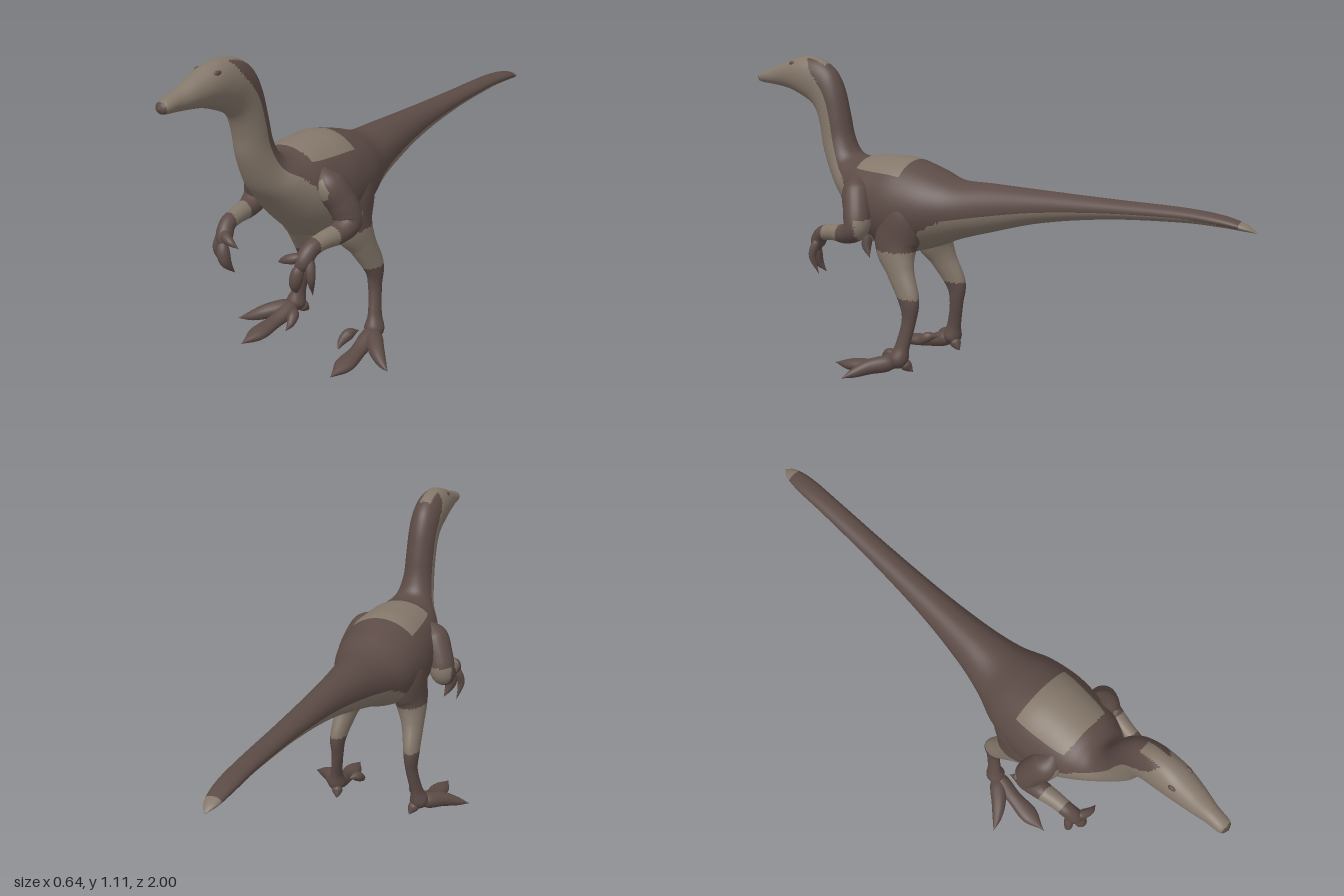
import * as THREE from 'three';
import { mergeVertices } from 'three/addons/utils/BufferGeometryUtils.js';

const V = (x, y, z) => new THREE.Vector3(x, y, z);
const spline = (pts) => new THREE.CatmullRomCurve3(pts, false, 'catmullrom', 0.5);

// Sorts the faces into two groups: dark hide (0) and light hide (1).
function paint(geo, isLight) {
  const p = geo.attributes.position, uv = geo.attributes.uv, src = geo.index.array;
  const sets = [[], []];
  for (let i = 0; i < src.length; i += 3) {
    const f = [src[i], src[i + 1], src[i + 2]];
    const c = V(0, 0, 0);
    let u = 0, v = 0;
    for (const k of f) {
      c.add(V(p.getX(k), p.getY(k), p.getZ(k)).divideScalar(3));
      if (uv) { u += uv.getX(k) / 3; v += uv.getY(k) / 3; }
    }
    sets[isLight(c, u, v) ? 1 : 0].push(...f);
  }
  geo.setIndex([...sets[0], ...sets[1]]);
  geo.clearGroups();
  geo.addGroup(0, sets[0].length, 0);
  geo.addGroup(sets[0].length, sets[1].length, 1);
  return geo;
}

// Tapered limb through points [x, y, z, radius, sideways stretch].
function limb(pts, side, sides = 14, perSpan = 8) {
  const path = spline(pts.map(([x, y, z]) => V(x * side, y, z)));
  const size = spline(pts.map(([, , , r, sx = 1]) => V(r, sx, 0)));
  path.getPointAt = path.getPoint;
  path.getTangentAt = path.getTangent;
  const n = (pts.length - 1) * perSpan;
  let geo = new THREE.TubeGeometry(path, n, 1, sides, false);
  const p = geo.attributes.position;
  for (let k = 0; k < p.count; k++) {
    const t = Math.floor(k / (sides + 1)) / n;
    const c = path.getPoint(t), s = size.getPoint(t), r = Math.max(0, s.x);
    const d = V(p.getX(k), p.getY(k), p.getZ(k)).sub(c).multiplyScalar(r);
    p.setXYZ(k, c.x + d.x * s.y, Math.max(0, c.y + d.y), c.z + d.z);
  }
  geo.deleteAttribute('uv');
  geo.deleteAttribute('normal');
  geo = mergeVertices(geo, 1e-5);
  geo.computeVertexNormals();
  return geo;
}

// Tail to snout: top z, top y, bottom z, bottom y, half width, light share from below.
const SECTIONS = [
  [-1, 0.635, -1, 0.635, 0, 0.4],
  [-0.96, 0.66, -0.96, 0.638, 0.023, 0.3],
  [-0.88, 0.68, -0.88, 0.643, 0.034, 0.3],
  [-0.75, 0.69, -0.75, 0.643, 0.036, 0.38],
  [-0.5, 0.692, -0.5, 0.625, 0.042, 0.4],
  [-0.25, 0.696, -0.25, 0.585, 0.056, 0.4],
  [-0.05, 0.7, -0.05, 0.53, 0.08, 0.4],
  [0.08, 0.702, 0.08, 0.49, 0.11, 0.38],
  [0.18, 0.735, 0.18, 0.45, 0.148, 0.25],
  [0.28, 0.763, 0.3, 0.42, 0.165, 0.12],
  [0.36, 0.766, 0.4, 0.435, 0.16, 0.2],
  [0.44, 0.76, 0.48, 0.5, 0.145, 0.48],
  [0.49, 0.752, 0.57, 0.6, 0.11, 0.6],
  [0.53, 0.768, 0.63, 0.67, 0.075, 0.62],
  [0.555, 0.82, 0.675, 0.77, 0.058, 0.62],
  [0.572, 0.9, 0.69, 0.85, 0.055, 0.6],
  [0.595, 0.99, 0.708, 0.905, 0.055, 0.6],
  [0.63, 1.055, 0.735, 0.935, 0.056, 0.62],
  [0.69, 1.095, 0.78, 0.958, 0.057, 0.75],
  [0.77, 1.105, 0.84, 0.98, 0.053, 1.1],
  [0.85, 1.083, 0.9, 0.99, 0.042, 1.1],
  [0.92, 1.056, 0.945, 0.995, 0.03, 1.1],
  [0.983, 1.038, 0.988, 1.0, 0.023, 1.1],
  [1, 1.018, 1, 1.016, 0, 1.1],
];

function bodyGeometry() {
  const top = spline(SECTIONS.map(([z, y, , , w]) => V(w, y, z)));
  const low = spline(SECTIONS.map(([, , z, y, , f]) => V(f, y, z)));
  const N = 56, M = (SECTIONS.length - 1) * 9;
  const pos = [], uv = [], idx = [];
  for (let i = 0; i <= M; i++) {
    const a = top.getPoint(i / M), b = low.getPoint(i / M);
    for (let j = 0; j < N; j++) {
      const ang = (j / N) * Math.PI * 2, h = (1 - Math.cos(ang)) / 2;
      pos.push(Math.max(0, a.x) * Math.sin(ang), b.y + (a.y - b.y) * h, b.z + (a.z - b.z) * h);
      uv.push(b.x, h);
      if (i < M) {
        const p = i * N + j, q = i * N + (j + 1) % N;
        idx.push(p, q, p + N, q, q + N, p + N);
      }
    }
  }
  const geo = new THREE.BufferGeometry();
  geo.setAttribute('position', new THREE.Float32BufferAttribute(pos, 3));
  geo.setAttribute('uv', new THREE.Float32BufferAttribute(uv, 2));
  geo.setIndex(idx);
  geo.computeVertexNormals();
  return paint(geo, (c, share, h) => {
    if (c.z < -0.945) return true;                                        // tail tip
    if (c.z > 0.988) return false;                                        // nose
    if (c.z > 0.26 && c.z < 0.46 && c.y > 0.7 && h > 0.85) return true;   // saddle patch
    if (c.z > 0.66 && c.y > 1.05 && Math.abs(c.x) < 0.022) return true;   // crown
    return h < share;
  });
}

const LEG = [
  [0.08, 0.67, 0.24, 0], [0.1, 0.59, 0.25, 0.08, 0.75], [0.112, 0.47, 0.275, 0.086, 0.65],
  [0.132, 0.38, 0.245, 0.054, 0.75], [0.147, 0.285, 0.2, 0.041, 0.7], [0.15, 0.21, 0.198, 0.027, 0.8],
  [0.163, 0.12, 0.217, 0.027, 0.8], [0.17, 0.065, 0.232, 0.034], [0.17, 0.03, 0.25, 0],
];
const TOES = {
  middleToe: [[0.17, 0.07, 0.22, 0], [0.172, 0.055, 0.26, 0.028], [0.18, 0.032, 0.34, 0.023, 1.2],
    [0.186, 0.02, 0.43, 0.02, 1.6], [0.19, 0.015, 0.505, 0]],
  outerToe: [[0.165, 0.07, 0.22, 0], [0.19, 0.055, 0.26, 0.028], [0.235, 0.045, 0.31, 0.027],
    [0.28, 0.028, 0.345, 0.017], [0.322, 0.016, 0.368, 0]],
  hindToe: [[0.165, 0.07, 0.23, 0], [0.158, 0.05, 0.21, 0.02], [0.152, 0.035, 0.195, 0.012], [0.15, 0.025, 0.183, 0]],
  innerClaw: [[0.135, 0.068, 0.27, 0], [0.12, 0.065, 0.305, 0.019], [0.11, 0.045, 0.335, 0.014], [0.113, 0.025, 0.36, 0]],
};
const ARM = [
  [0.1, 0.71, 0.43, 0], [0.132, 0.655, 0.43, 0.05], [0.168, 0.59, 0.405, 0.05], [0.188, 0.53, 0.395, 0.046],
  [0.186, 0.502, 0.44, 0.036], [0.176, 0.497, 0.51, 0.029], [0.17, 0.485, 0.565, 0.027],
  [0.16, 0.445, 0.595, 0.026], [0.153, 0.405, 0.6, 0],
];
const FINGERS = {
  outerFinger: [[0.17, 0.48, 0.58, 0], [0.182, 0.45, 0.585, 0.015], [0.193, 0.4, 0.595, 0.013], [0.183, 0.335, 0.575, 0]],
  middleFinger: [[0.158, 0.46, 0.595, 0], [0.153, 0.42, 0.61, 0.02], [0.143, 0.375, 0.61, 0.019], [0.128, 0.332, 0.585, 0]],
  innerFinger: [[0.165, 0.48, 0.585, 0], [0.145, 0.465, 0.605, 0.016], [0.112, 0.455, 0.618, 0.013], [0.08, 0.438, 0.615, 0]],
};

export function createModel() {
  const dark = new THREE.MeshStandardMaterial({ color: 0x5c4b46 });
  dark.name = 'darkHide';
  const light = new THREE.MeshStandardMaterial({ color: 0x84776a });
  light.name = 'lightHide';
  const model = new THREE.Group();
  model.name = 'longTailedDinosaur';

  function add(parent, name, geo, mat) {
    const mesh = new THREE.Mesh(geo, mat);
    mesh.name = name;
    parent.add(mesh);
    return mesh;
  }

  add(model, 'bodyNeckHeadAndTail', bodyGeometry(), [dark, light]);

  for (const [side, word] of [[1, 'left'], [-1, 'right']]) {
    // Leg: dark hip, light lower thigh, dark shank and foot
    const leg = new THREE.Group();
    leg.name = word + 'Leg';
    add(leg, 'thighAndShank', paint(limb(LEG, side, 28, 12), (c) => c.y > 0.29 && c.y < 0.45), [dark, light]);
    for (const name in TOES) add(leg, name, limb(TOES[name], side), dark);

    // Arm: light elbow and wrist
    const arm = new THREE.Group();
    arm.name = word + 'Arm';
    const pale = (c) => (c.z < 0.375 && c.y < 0.56) || (c.z > 0.47 && c.z < 0.55);
    add(arm, 'armAndPalm', paint(limb(ARM, side, 24, 12), pale), [dark, light]);
    for (const name in FINGERS) add(arm, name, limb(FINGERS[name], side), dark);

    const eye = add(model, word + 'Eye', new THREE.SphereGeometry(0.012, 14, 10), dark);
    eye.position.set(0.038 * side, 1.078, 0.8);
    eye.scale.set(0.6, 0.7, 1.2);
    model.add(leg, arm);
  }
  return model;
}
